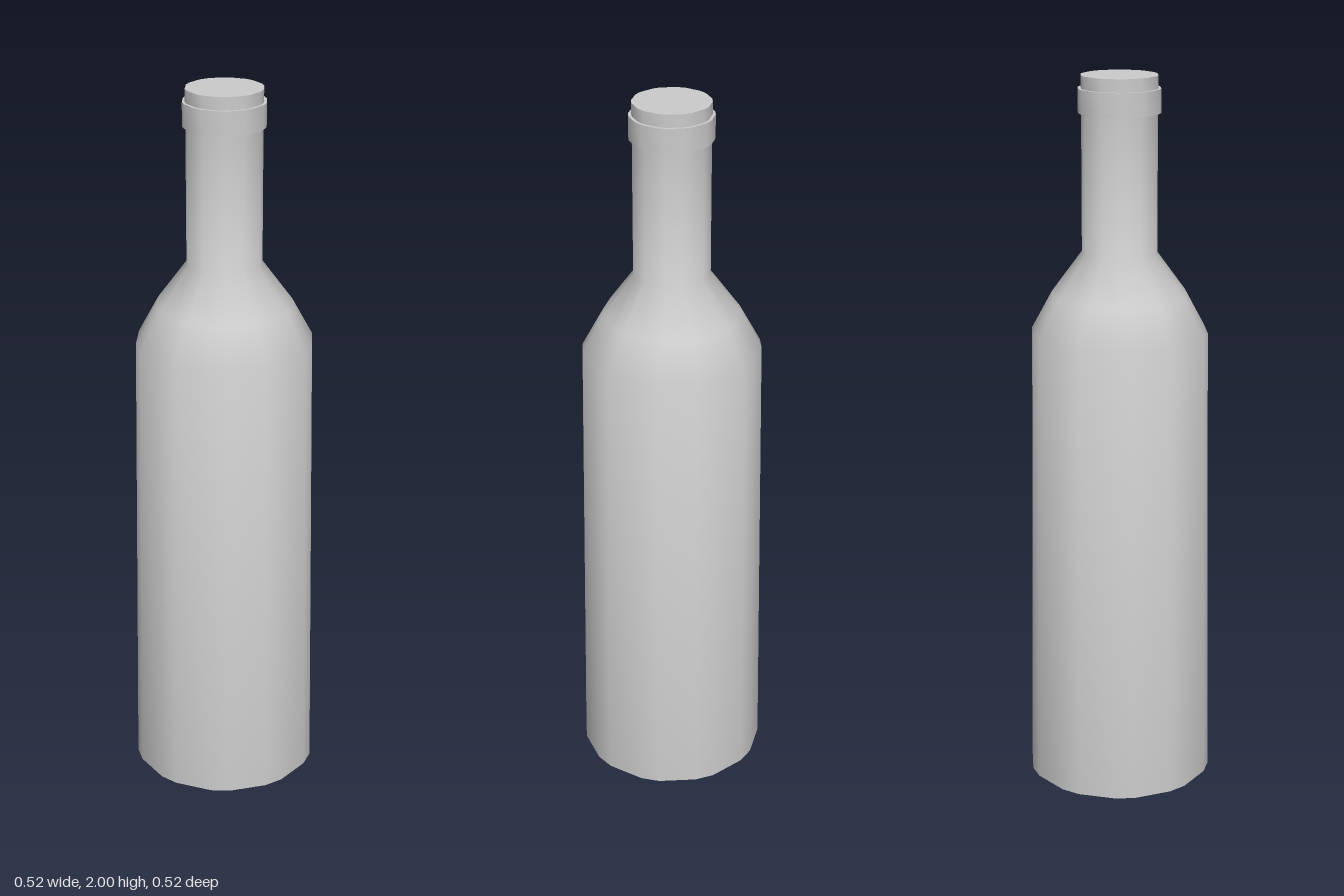
import * as THREE from 'three';
import { toCreasedNormals } from 'three/addons/utils/BufferGeometryUtils.js';

const SIDES = 20;

// Revolves a profile of [radius, height] with alternating 12 and 24 degree facets.
function turned(name, profile, material) {
  const points = profile.map(([r, y]) => new THREE.Vector2(r, y));
  const geometry = new THREE.LatheGeometry(points, SIDES);
  const position = geometry.attributes.position;
  for (let i = 0; i <= SIDES; i++) {
    const k = i % SIDES;
    const angle = THREE.MathUtils.degToRad(36 * Math.floor(k / 2) + 12 * (k % 2));
    points.forEach((p, j) => position.setXYZ(
      i * points.length + j, p.x * Math.cos(angle), p.y, -p.x * Math.sin(angle)));
  }
  const mesh = new THREE.Mesh(toCreasedNormals(geometry, THREE.MathUtils.degToRad(50)), material);
  mesh.name = name;
  return mesh;
}

export function createModel() {
  const group = new THREE.Group();
  group.name = 'bottle';
  const material = new THREE.MeshStandardMaterial({ color: 0xcccccc });

  // Closed base, tapering body, shoulder, neck, raised collar and flat top
  group.add(turned('bottleBody', [
    [0, 0], [0.261, 0], [0.245, 1.3], [0.188, 1.405], [0.104, 1.52],
    [0.104, 1.9], [0.113, 1.9], [0.113, 1.965], [0.105, 1.965],
    [0.105, 2], [0, 2],
  ], material));

  return group;
}
